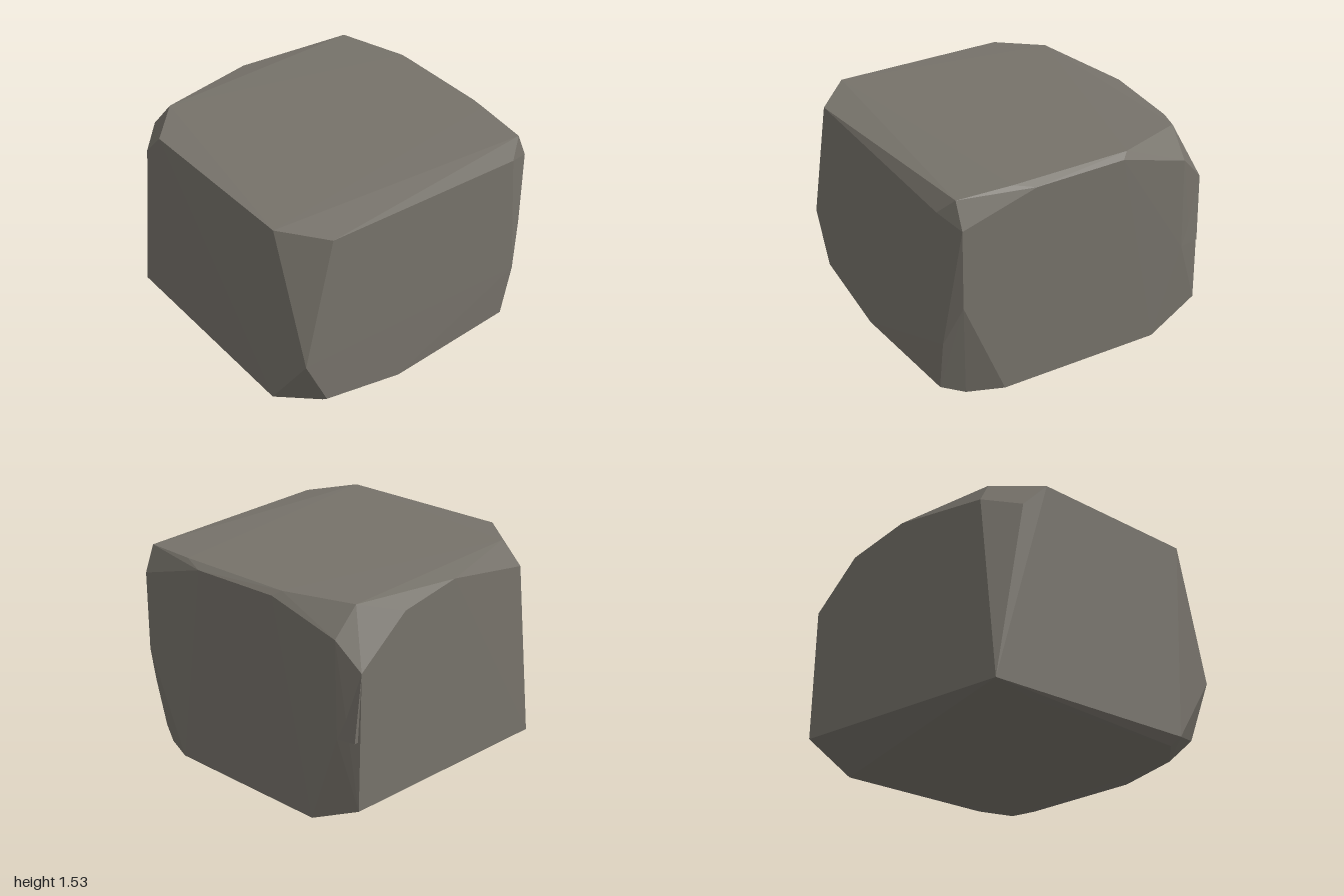
import * as THREE from 'three';
import { ConvexGeometry } from 'three/addons/geometries/ConvexGeometry.js';

// Faceted solid spanned by a few corner points
function chiselled(name, corners, material) {
  const geometry = new ConvexGeometry(corners.map((c) => new THREE.Vector3(...c)));
  const mesh = new THREE.Mesh(geometry, material);
  mesh.name = name;
  return mesh;
}

export function createModel() {
  const stone = new THREE.MeshStandardMaterial({ color: 0x76726a });
  stone.name = 'grey stone';

  // Worn top rim
  const top = [
    [0.72, 1.53, 1.0], [-0.56, 1.52, 1.0], [-0.84, 1.53, 0.73], [-0.99, 1.5, 0.0],
    [-0.84, 1.53, -0.81], [-0.35, 1.535, -0.96], [0.52, 1.535, -0.95],
    [0.91, 1.525, -0.91], [0.99, 1.49, 0.74],
  ];
  // Chipped upper corners
  const shoulders = [
    [-0.76, 1.31, 0.985], [-0.96, 1.35, 0.79], [-1.0, 1.44, -0.52],
    [-0.82, 1.34, -0.985], [-0.3, 1.5, -1.0], [0.37, 1.5, -1.0],
    [0.91, 1.34, -0.987], [0.985, 1.41, -0.8],
  ];
  // Corners along the sides
  const sides = [
    [1.0, 0.56, 0.97], [0.91, 0.77, -0.987], [1.0, 0.46, -0.87],
  ];
  // Worn bottom rim
  const bottom = [
    [-0.97, 0.02, 0.96], [0.66, 0.06, 1.0], [0.62, 0.0, 0.94], [1.0, 0.18, 0.8],
    [0.85, 0.01, 0.72], [1.0, 0.03, 0.17], [0.99, 0.07, -0.8], [0.84, 0.02, -0.88],
    [0.6, 0.03, -0.99], [-0.62, 0.0, -0.99], [-0.6, 0.0, 0.9],
  ];
  // Broken back edge, with a lip overhanging the notch
  const edgeTop = [-1.0, 1.15, -0.94];
  const notchBack = [-0.84, 0.66, -0.99];
  const notchSide = [-1.0, 0.68, -0.85];
  const edgeFoot = [-1.0, 0.18, -0.96];
  const lipTip = [-0.98, 0.67, -0.98];

  const group = new THREE.Group();
  group.name = 'stoneBlock';
  // The upper edge is set back in the block and restored by the lip
  group.add(chiselled('block', [
    ...top, ...shoulders, ...sides, ...bottom, edgeTop, notchBack, notchSide, edgeFoot,
  ], stone));
  group.add(chiselled('edgeLip', [
    edgeTop, notchBack, notchSide, lipTip, [-0.85, 0.75, -0.85],
  ], stone));
  return group;
}
